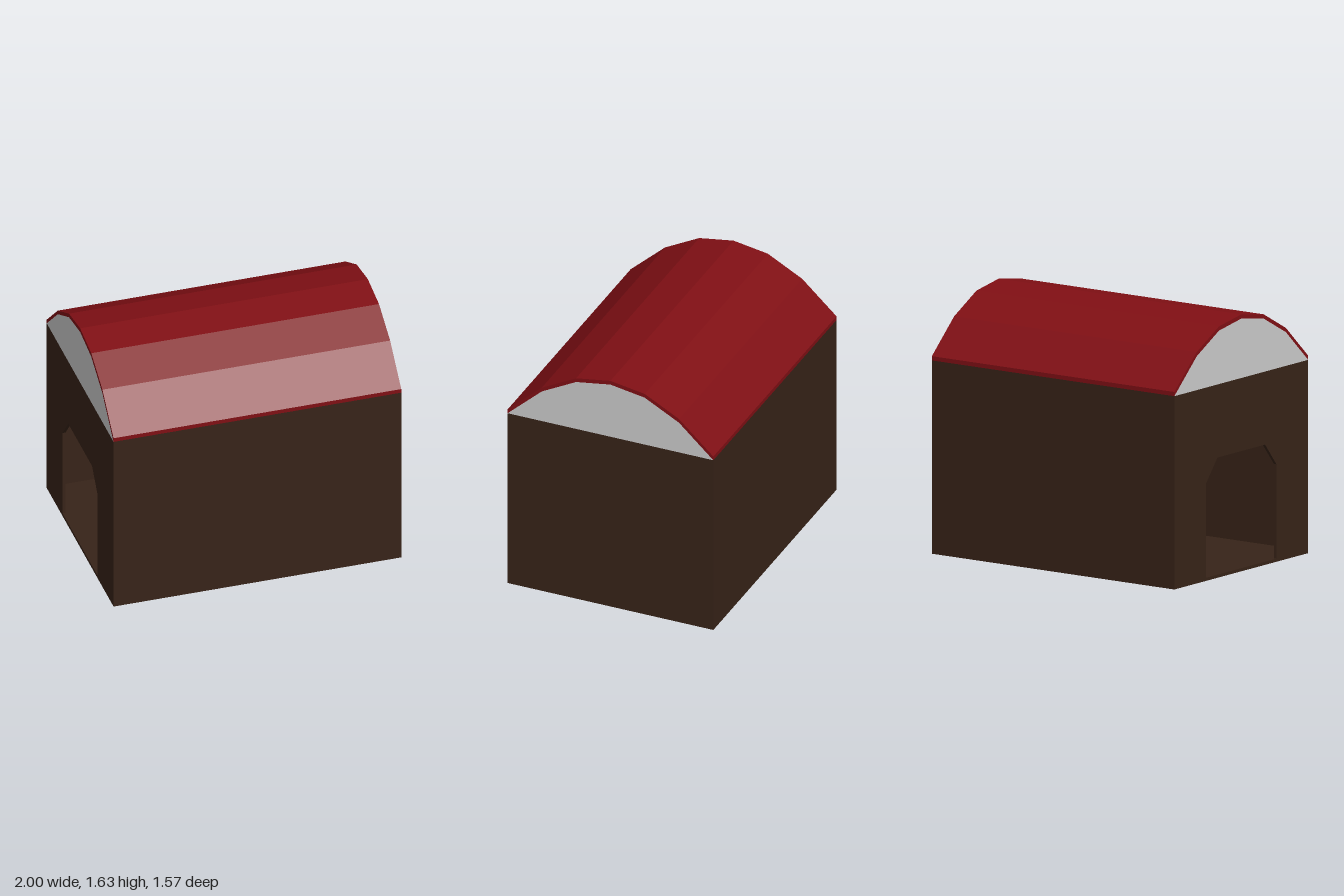
import * as THREE from 'three';

const LENGTH = 1.878, WIDTH = 1.406, WALL_H = 1.23, T = 0.02, ROOF_T = 0.027;

const material = (color) => new THREE.MeshStandardMaterial({ color, flatShading: true });
const brown = material(0x372318);
const red = material(0x800f14);
const grey = material(0xcccccc);

function addMesh(parent, name, geometry, mat, x = 0, y = 0, z = 0) {
  const mesh = new THREE.Mesh(geometry, mat);
  mesh.name = name;
  mesh.position.set(x, y, z);
  parent.add(mesh);
}

// Extrude a (z, y) outline along the x axis, centred
function extrudeAlongX(shape, depth) {
  return new THREE.ExtrudeGeometry(shape, { depth, bevelEnabled: false })
    .translate(0, 0, -depth / 2)
    .rotateY(Math.PI / 2);
}

const points = (list) => list.map(([x, y]) => new THREE.Vector2(x, y));

export function createModel() {
  const model = new THREE.Group();
  model.name = 'kennel';
  const house = new THREE.Group();
  house.name = 'house';
  house.rotation.y = 0.092;
  model.add(house);

  // Floor and long side walls
  const innerW = WIDTH - 2 * T;
  addMesh(house, 'floor', new THREE.BoxGeometry(LENGTH - 2 * T, T, innerW), brown, 0, T / 2, 0);
  for (const s of [-1, 1]) {
    addMesh(house, 'sideWall', new THREE.BoxGeometry(LENGTH, WALL_H, T), brown,
      0, WALL_H / 2, s * (WIDTH - T) / 2);
  }

  // Closed end wall
  const endX = (LENGTH - T) / 2;
  addMesh(house, 'backWall', new THREE.BoxGeometry(T, WALL_H, innerW), brown, endX, WALL_H / 2, 0);

  // Entrance wall with a chamfered doorway
  const w = innerW / 2;
  const wall = new THREE.Shape(points([[-w, 0], [w, 0], [w, WALL_H], [-w, WALL_H]]));
  wall.holes.push(new THREE.Path(points([
    [-0.37, T], [-0.37, 0.62], [-0.25, 0.765], [0.25, 0.765], [0.37, 0.62], [0.37, T],
  ])));
  addMesh(house, 'entranceWall', extrudeAlongX(wall, T), brown, -endX);

  // Faceted arch shared by the gables and the roof
  const heights = [1.23, 1.445, 1.57, 1.608, 1.57, 1.445, 1.23];
  const arch = heights.map((y, i) => [(i / 6 - 0.5) * WIDTH, y]);
  addMesh(house, 'gable', extrudeAlongX(new THREE.Shape(points(arch)), LENGTH), grey);

  // Thin roof shell over the arch
  const outer = arch.map(([z, y]) => [z, y + ROOF_T]).reverse();
  addMesh(house, 'roof', extrudeAlongX(new THREE.Shape(points([...arch, ...outer])), LENGTH), red);

  return model;
}
